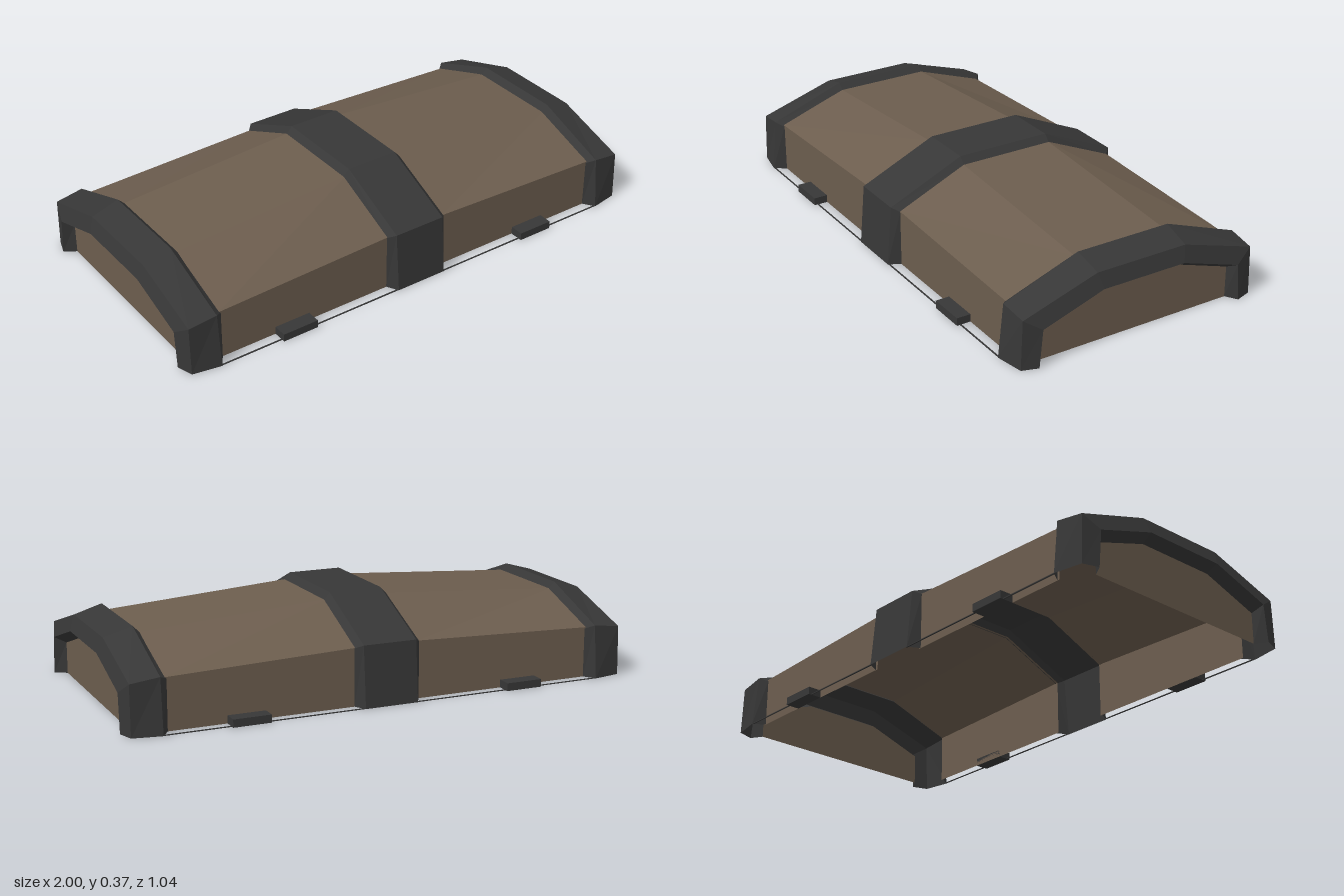
import * as THREE from 'three';

export function createModel() {
  const brown = new THREE.MeshStandardMaterial({ color: 0x6c5d4e, flatShading: true, side: THREE.DoubleSide });
  brown.name = 'brown hide';
  const dark = new THREE.MeshStandardMaterial({ color: 0x373737, flatShading: true, side: THREE.DoubleSide });
  dark.name = 'dark iron';

  const model = new THREE.Group();
  model.name = 'chestLid';

  const add = (name, geometry, material, parent = model) => {
    const mesh = new THREE.Mesh(geometry, material);
    mesh.name = name;
    parent.add(mesh);
    return mesh;
  };

  // Arch outline as [z, y] points, from the front foot over the ridge to the back foot
  const arch = ([, foot, shoulder, shoulderY, ridge, ridgeY]) => [
    [foot, 0], [shoulder, shoulderY], [ridge, ridgeY],
    [-ridge, ridgeY], [-shoulder, shoulderY], [-foot, 0],
  ];

  // Flat-faced shell through arches; ring = [x, foot z, shoulder z, shoulder y, ridge z, ridge y]
  function archShell(rings) {
    const positions = [];
    for (let i = 0; i < rings.length - 1; i++) {
      const p = arch(rings[i]).map(([z, y]) => [rings[i][0], y, z]);
      const q = arch(rings[i + 1]).map(([z, y]) => [rings[i + 1][0], y, z]);
      for (let j = 0; j < p.length - 1; j++) {
        positions.push(...p[j], ...q[j], ...q[j + 1], ...p[j], ...q[j + 1], ...p[j + 1]);
      }
    }
    const geometry = new THREE.BufferGeometry();
    geometry.setAttribute('position', new THREE.Float32BufferAttribute(positions, 3));
    geometry.computeVertexNormals();
    return geometry;
  }

  const mirrored = (rings) => rings.map(([x, ...rest]) => [-x, ...rest]).reverse();

  const coverRings = [
    [0.12, 0.465, 0.465, 0.22, 0.19, 0.34],
    [0.85, 0.465, 0.465, 0.195, 0.19, 0.29],
  ];
  const endBandRings = [
    [0.84, 0.465, 0.465, 0.19, 0.19, 0.285],
    [0.87, 0.51, 0.49, 0.205, 0.19, 0.315],
    [0.98, 0.49, 0.484, 0.19, 0.185, 0.284],
    [1.0, 0.428, 0.415, 0.145, 0.17, 0.225],
    [0.955, 0.4, 0.4, 0.122, 0.165, 0.2],
  ];
  const halfMidBand = [
    [0.105, 0.51, 0.49, 0.232, 0.19, 0.365],
    [0.13, 0.465, 0.465, 0.218, 0.19, 0.338],
  ];

  // Raised band across the middle
  add('middleBand', archShell([...mirrored(halfMidBand), ...halfMidBand]), dark);

  for (const side of [1, -1]) {
    const half = new THREE.Group();
    half.name = side > 0 ? 'leftHalf' : 'rightHalf';
    model.add(half);
    const sided = (rings) => (side > 0 ? rings : mirrored(rings));

    // Tapering cover and the rim band at its end
    add('cover', archShell(sided(coverRings)), brown, half);
    add('endBand', archShell(sided(endBandRings)), dark, half);

    // Recessed end panel
    const outline = arch(endBandRings[4]).map(([z, y]) => new THREE.Vector2(z, y));
    const panel = add('endPanel', new THREE.ShapeGeometry(new THREE.Shape(outline)), brown, half);
    panel.rotation.y = side * Math.PI / 2;
    panel.position.x = side * endBandRings[4][0];

    for (const face of [1, -1]) {
      // Small clip and thin rail along the lower edge
      const clip = add('clip', new THREE.BoxGeometry(0.145, 0.03, 0.055), dark, half);
      clip.position.set(side * 0.547, 0.015, face * 0.4925);
      const rail = add('rail', new THREE.BoxGeometry(0.77, 0.003, 0.005), dark, half);
      rail.position.set(side * 0.485, 0.0015, face * 0.506);
    }
  }
  return model;
}
